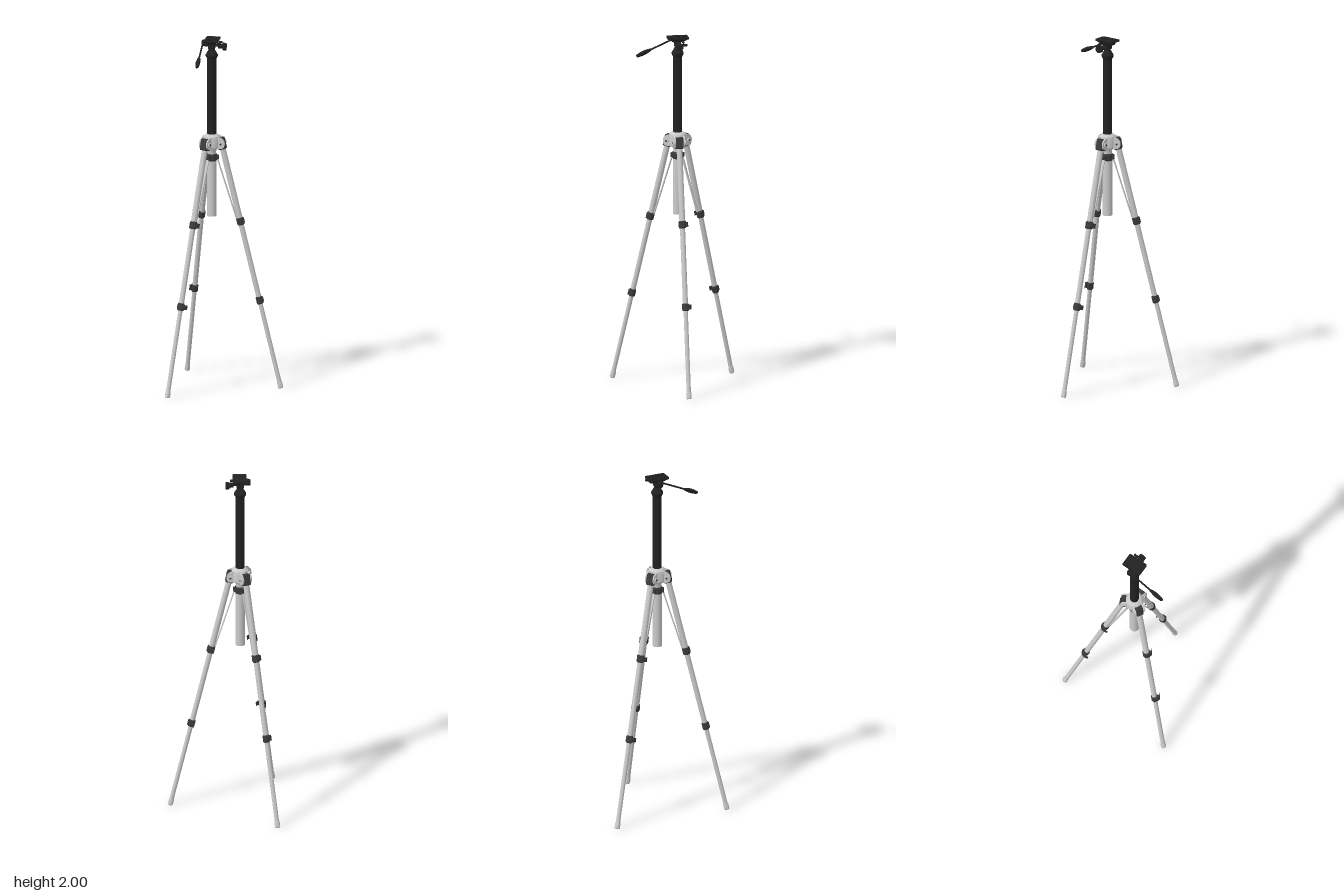
import * as THREE from 'three';
import { toCreasedNormals } from 'three/addons/utils/BufferGeometryUtils.js';
import { RoundedBoxGeometry } from 'three/addons/geometries/RoundedBoxGeometry.js';

const grey = new THREE.MeshStandardMaterial({ color: 0xcccccc });
const dark = new THREE.MeshStandardMaterial({ color: 0x3a3a3a });
const black = new THREE.MeshStandardMaterial({ color: 0x222222 });

function add(parent, name, geometry, material, x = 0, y = 0, z = 0) {
  const mesh = new THREE.Mesh(geometry, material);
  mesh.name = name;
  mesh.position.set(x, y, z);
  parent.add(mesh);
  return mesh;
}

const cyl = (rTop, rBottom, h, n = 24) => new THREE.CylinderGeometry(rTop, rBottom, h, n);
const box = (w, h, d) => new THREE.BoxGeometry(w, h, d);

// Profile of [radius, y] pairs from bottom to top
const lathe = (points, n = 32) => toCreasedNormals(
  new THREE.LatheGeometry(points.map(([r, y]) => new THREE.Vector2(r, y)), n), 0.5);

// Turns a y-aligned geometry so that it runs from a to b
function between(mesh, a, b) {
  mesh.position.copy(a).add(b).multiplyScalar(0.5);
  mesh.quaternion.setFromUnitVectors(new THREE.Vector3(0, 1, 0), b.clone().sub(a).normalize());
  return mesh;
}

// Curved quick-release lever, lying flat in x-z and extruded along y
function leverGeometry() {
  const s = new THREE.Shape();
  s.moveTo(0.014, -0.008);
  s.lineTo(0.022, -0.010);
  s.bezierCurveTo(0.027, 0.014, 0.016, 0.034, -0.014, 0.035);
  s.bezierCurveTo(0.008, 0.029, 0.018, 0.016, 0.014, -0.008);
  const g = new THREE.ExtrudeGeometry(s, { depth: 0.026, bevelEnabled: false, curveSegments: 8 });
  g.translate(0, 0, -0.013);
  g.rotateX(-Math.PI / 2);
  return g;
}

// Cheek plate that carries a leg pivot
function cheekGeometry() {
  const s = new THREE.Shape();
  s.moveTo(0.015, 0.042);
  s.lineTo(0.048, 0.036);
  s.quadraticCurveTo(0.078, 0.028, 0.078, 0);
  s.quadraticCurveTo(0.076, -0.026, 0.055, -0.028);
  s.lineTo(0.015, -0.028);
  const g = new THREE.ExtrudeGeometry(s, { depth: 0.008, bevelEnabled: false, curveSegments: 8 });
  g.translate(0, 0, -0.004);
  return g;
}

// One leg pointing along +x, with its pivot, clamps and brace
function createLeg() {
  const side = new THREE.Group();
  side.name = 'legAssembly';
  for (const s of [-1, 1]) {
    add(side, 'pivotCheek', cheekGeometry(), grey, 0, 1.4, s * 0.026);
    add(side, 'pivotBolt', cyl(0.013, 0.013, 0.008, 20), grey, 0.056, 1.4, s * 0.032).rotation.x = Math.PI / 2;
    add(side, 'boltCentre', cyl(0.006, 0.006, 0.01, 6), dark, 0.056, 1.4, s * 0.032).rotation.x = Math.PI / 2;
  }

  const leg = new THREE.Group();
  leg.name = 'leg';
  leg.position.set(0.055, 1.4, 0);
  leg.rotation.z = 0.237;
  side.add(leg);
  add(leg, 'legHead', new RoundedBoxGeometry(0.044, 0.066, 0.043, 2, 0.006), dark, 0, -0.002, 0);
  const tube = (name, r, from, to) => add(leg, name, cyl(r, r, to - from), grey, 0, -(from + to) / 2, 0);
  tube('upperTube', 0.0165, 0.02, 0.46);
  tube('middleTube', 0.0145, 0.45, 0.92);
  tube('lowerTube', 0.0122, 0.91, 1.41);
  add(leg, 'foot', lathe([[0, -1.436], [0.012, -1.436], [0.0148, -1.432], [0.0148, -1.405],
    [0.013, -1.396], [0, -1.396]], 24), grey);
  for (const [d, r] of [[0.458, 0.021], [0.921, 0.019]]) {
    add(leg, 'clampCollar', lathe([[0, -0.021], [r - 0.003, -0.021], [r, -0.017], [r, 0.017],
      [r - 0.003, 0.021], [0, 0.021]], 24), dark, 0, -d, 0);
    add(leg, 'clampLug', box(0.018, 0.028, 0.014), dark, 0.008, -d, -0.018);
    add(leg, 'clampLever', leverGeometry(), dark, 0, -d, 0);
  }

  // Flat brace from the centre collar to the upper clamp
  const a = new THREE.Vector3(0.029, 1.32, 0), b = new THREE.Vector3(0.142, 0.965, 0);
  between(add(side, 'brace', box(0.005, a.distanceTo(b), 0.016), grey), a, b);
  add(side, 'braceHinge', box(0.014, 0.024, 0.026), dark, 0.031, 1.318, 0);
  return side;
}

// Lengthwise fluted centre column
function columnGeometry(r, height) {
  const s = new THREE.Shape(), n = 72;
  for (let i = 0; i < n; i++) {
    const t = (i / n) * Math.PI * 2, q = i % 4 < 2 ? r : r - 0.0012;
    if (i) s.lineTo(q * Math.cos(t), q * Math.sin(t));
    else s.moveTo(q, 0);
  }
  const g = new THREE.ExtrudeGeometry(s, { depth: height, bevelEnabled: false });
  g.rotateX(-Math.PI / 2);
  return g;
}

// Pan head with tilting plate, knobs and handle
function createHead() {
  const head = new THREE.Group();
  head.name = 'panHead';
  add(head, 'panBase', lathe([[0, 1.885], [0.026, 1.885], [0.034, 1.9], [0.034, 1.908], [0.024, 1.925],
    [0.015, 1.942], [0.013, 1.965], [0, 1.965]]), black);
  add(head, 'tiltBody', new RoundedBoxGeometry(0.04, 0.036, 0.036, 2, 0.006), black, 0, 1.958, 0);
  add(head, 'tiltAxle', cyl(0.009, 0.009, 0.11, 16), black, -0.003, 1.962, 0).rotation.z = Math.PI / 2;

  // Camera plate: tapered underside, rounded slab and grip ribs
  const under = add(head, 'plateUnderside', cyl(0.05, 0.03, 0.016, 4), black, 0.002, 1.98, 0);
  under.geometry.rotateY(Math.PI / 4);
  under.scale.z = 1.4;
  const slab = new THREE.Shape(), w = 0.039, l = 0.059, c = 0.009;
  slab.moveTo(-w + c, -l);
  for (const [x, y, ex, ey] of [[w, -l, 0, 1], [w, l, -1, 0], [-w, l, 0, -1], [-w, -l, 1, 0]]) {
    slab.lineTo(x - (ex ? 0 : Math.sign(x) * c), y - (ex ? Math.sign(y) * c : 0));
    slab.quadraticCurveTo(x, y, x + ex * c, y + ey * c);
  }
  const slabGeo = new THREE.ExtrudeGeometry(slab, { depth: 0.01, bevelEnabled: false, curveSegments: 6 });
  slabGeo.rotateX(-Math.PI / 2);
  add(head, 'cameraPlate', slabGeo, black, 0.002, 1.988, 0);
  for (let i = -5; i <= 5; i++) add(head, 'gripRib', box(0.003, 0.003, 0.108), black, 0.002 + i * 0.006, 1.9985, 0);

  // Locking knobs on the left
  const lock = add(head, 'tiltLock', cyl(0.021, 0.021, 0.018, 12), black, 0.073, 1.955, 0);
  lock.rotation.z = Math.PI / 2;
  add(head, 'tiltLockHub', cyl(0.014, 0.014, 0.03, 12), black, 0.052, 1.957, 0).rotation.z = Math.PI / 2;
  add(head, 'lockLever', new RoundedBoxGeometry(0.011, 0.014, 0.05, 2, 0.004), black, 0.06, 1.962, -0.02);
  for (const z of [-0.024, 0.02])
    add(head, 'plateScrew', cyl(0.006, 0.006, 0.022, 12), black, 0.045, 1.975, z).rotation.z = Math.PI / 2;

  // Handle on the right, reaching forward and down
  add(head, 'handleMount', new RoundedBoxGeometry(0.02, 0.026, 0.028, 2, 0.005), black, -0.048, 1.975, 0);
  const root = new THREE.Vector3(-0.048, 1.982, 0), end = new THREE.Vector3(-0.048, 1.882, 0.226);
  const neck = root.clone().lerp(end, 0.64);
  between(add(head, 'handleRod', cyl(0.005, 0.005, root.distanceTo(neck), 12), black), root, neck);
  const h = neck.distanceTo(end) / 2;
  between(add(head, 'handleGrip', lathe([[0, -h], [0.007, -h], [0.009, -h * 0.8], [0.0125, -h * 0.2],
    [0.0125, h * 0.3], [0.009, h * 0.85], [0.006, h], [0, h]], 20), black), neck, end);
  return head;
}

export function createModel() {
  const model = new THREE.Group();
  model.name = 'tripod';
  const stand = new THREE.Group();
  stand.name = 'stand';
  stand.position.x = -0.1;
  model.add(stand);

  // Centre column and lower sleeve
  add(stand, 'centreColumn', columnGeometry(0.0255, 0.46), black, 0, 1.435, 0);
  add(stand, 'lowerSleeve', cyl(0.027, 0.027, 0.33, 32), grey, 0, 1.145, 0);
  add(stand, 'braceCollar', lathe([[0, 1.298], [0.027, 1.298], [0.031, 1.304], [0.031, 1.332],
    [0.027, 1.338], [0, 1.338]]), dark);
  add(stand, 'hubNeck', lathe([[0, 1.33], [0.024, 1.33], [0.024, 1.35], [0.034, 1.375], [0, 1.375]]), grey);

  // Hub
  add(stand, 'hub', lathe([[0, 1.372], [0.046, 1.372], [0.05, 1.378], [0.05, 1.425], [0.046, 1.44],
    [0.034, 1.452], [0, 1.452]]), grey);

  // Three legs, evenly spaced
  for (let i = 0; i < 3; i++) {
    const side = createLeg();
    side.rotation.y = (i * Math.PI * 2) / 3;
    stand.add(side);
  }

  stand.add(createHead());
  return model;
}
